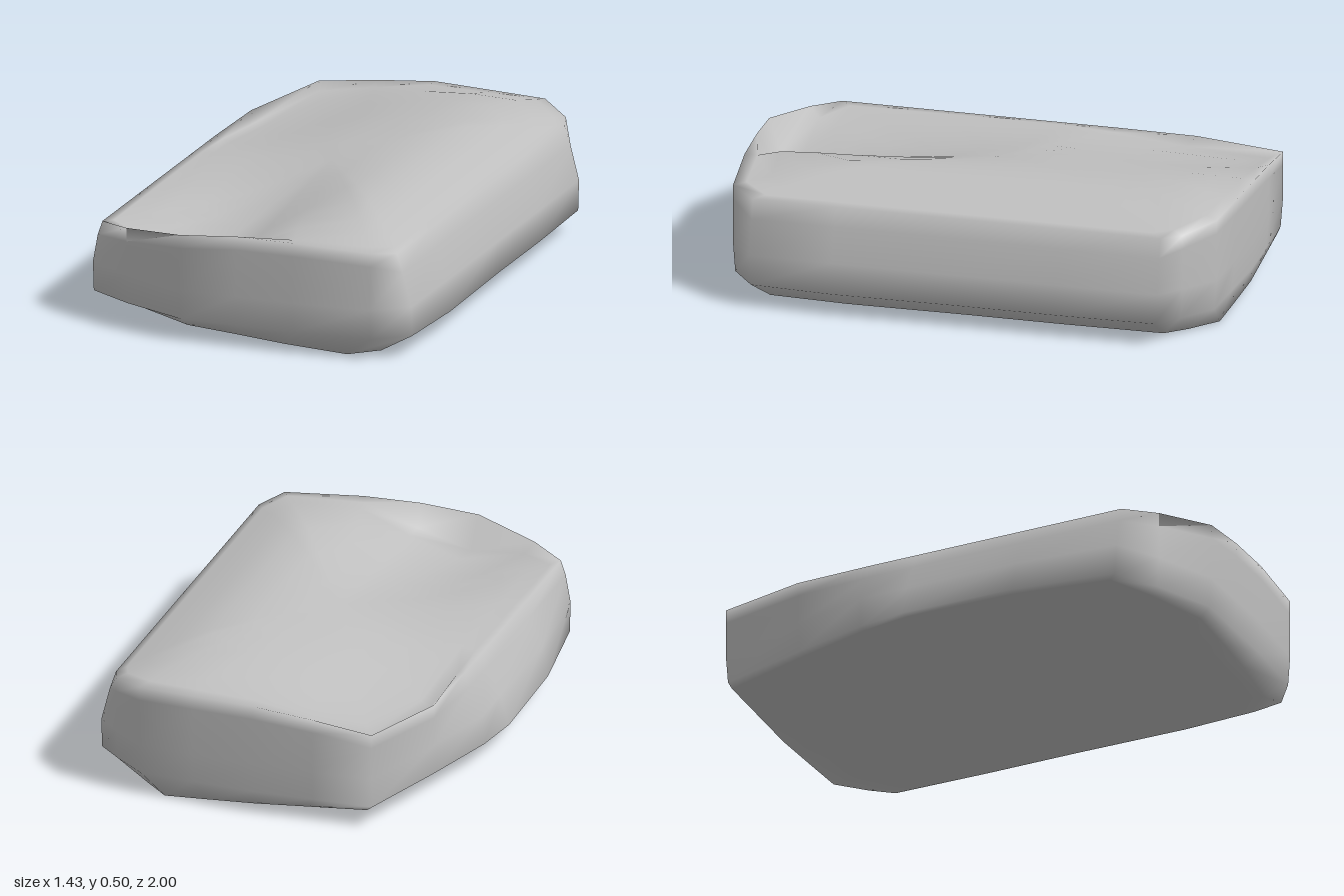
import * as THREE from 'three';

// Plan outline of the slab, [x, z], running round from the back left corner
const outline = [
  [-0.48, -0.98], [-0.24, -0.99], [0, -1], [0.25, -0.99], [0.47, -0.98], [0.6, -0.88], [0.69, -0.8],
  [0.7, -0.4], [0.7, 0], [0.71, 0.5], [0.69, 0.83], [0.56, 0.93], [0.25, 0.97], [0.02, 0.985],
  [-0.21, 1], [-0.47, 0.91], [-0.65, 0.82], [-0.71, 0.4], [-0.72, -0.08], [-0.69, -0.28], [-0.6, -0.6],
];
const N = outline.length;
const { clamp, lerp, smoothstep } = THREE.MathUtils;
const bell = (d, w) => Math.exp(-(d * d) / (w * w));

// Height of the crest along x
const crest = [[-0.75, 0.36], [-0.61, 0.38], [-0.1, 0.45], [0.2, 0.49], [0.32, 0.5], [0.45, 0.475], [0.63, 0.42], [0.75, 0.33]];
function crestY(x) {
  const i = Math.max(1, crest.findIndex(([cx]) => x <= cx));
  const [x0, y0] = crest[i - 1], [x1, y1] = crest[i];
  return lerp(y0, y1, (x - x0) / (x1 - x0));
}

// The crest is cut down to a level edge at both ends
const endCap = (z) => 0.5 - 0.045 * clamp((Math.abs(z) - 0.77) / 0.2, 0, 1);
const rimY = (x, z) => Math.min(crestY(x), endCap(z));
const baseY = (x) => Math.max(0, 0.038 - 0.07 * x);

// Weathered top: a valley deepening to the front and a hollow at the back left
function topY(x, z) {
  const valley = 0.14 * bell(x + 0.15, 0.26) * smoothstep(z, -0.2, 0.95);
  const hollow = 0.05 * bell(x + 0.45, 0.3) * bell(z + 0.65, 0.35);
  return rimY(x, z) - valley - hollow;
}

// Cross-sections from the underside up the wall and across the top
const scaled = (sx, sz, height) => ([x, z]) => [x * sx, height(x * sx), z * sz];
const wall = (left, right, height) => ([x, z]) => {
  const cx = clamp(x, left, right);
  return [cx, height(cx, z), z];
};
const rim = wall(-0.61, 0.63, rimY);
const topRing = (s) => (p) => {
  const [x, , z] = rim(p);
  return [x * s, topY(x * s, z * s), z * s];
};
const rings = [
  scaled(0.45, 0.45, baseY),
  scaled(0.78, 0.86, baseY),
  ([x, z]) => [x * (x > 0 ? 0.79 : 0.95), baseY(x), z * (z > 0 ? 0.945 : 0.985)],
  ([x, z]) => [x, 0.09, z * 0.99],
  wall(-0.685, 0.69, () => 0.21),
  wall(-0.63, 0.655, (x, z) => rimY(x, z) - 0.055),
  rim,
  ...[0.95, 0.86, 0.73, 0.57, 0.38, 0.19].map(topRing),
];

function rockGeometry() {
  const pos = [], index = [];
  for (const ring of rings) for (const p of outline) pos.push(...ring(p));
  for (let r = 0; r < rings.length - 1; r++) {
    for (let i = 0; i < N; i++) {
      const a = r * N + i, b = r * N + (i + 1) % N;
      index.push(a, a + N, b, b, a + N, b + N);
    }
  }
  // Close the underside and the top with fans
  const bottom = pos.length / 3, top = bottom + 1, last = (rings.length - 1) * N;
  pos.push(0, baseY(0), 0, 0, topY(0, 0), 0);
  for (let i = 0; i < N; i++) {
    const j = (i + 1) % N;
    index.push(bottom, i, j, top, last + j, last + i);
  }
  const geo = new THREE.BufferGeometry();
  geo.setAttribute('position', new THREE.Float32BufferAttribute(pos, 3));
  geo.setIndex(index);
  geo.computeVertexNormals();
  return geo;
}

export function createModel() {
  const group = new THREE.Group();
  group.name = 'rock';
  const stone = new THREE.MeshStandardMaterial({ color: 0xc0c0c0 });
  stone.name = 'grey stone';
  const slab = new THREE.Mesh(rockGeometry(), stone);
  slab.name = 'rockSlab';
  group.add(slab);
  return group;
}
